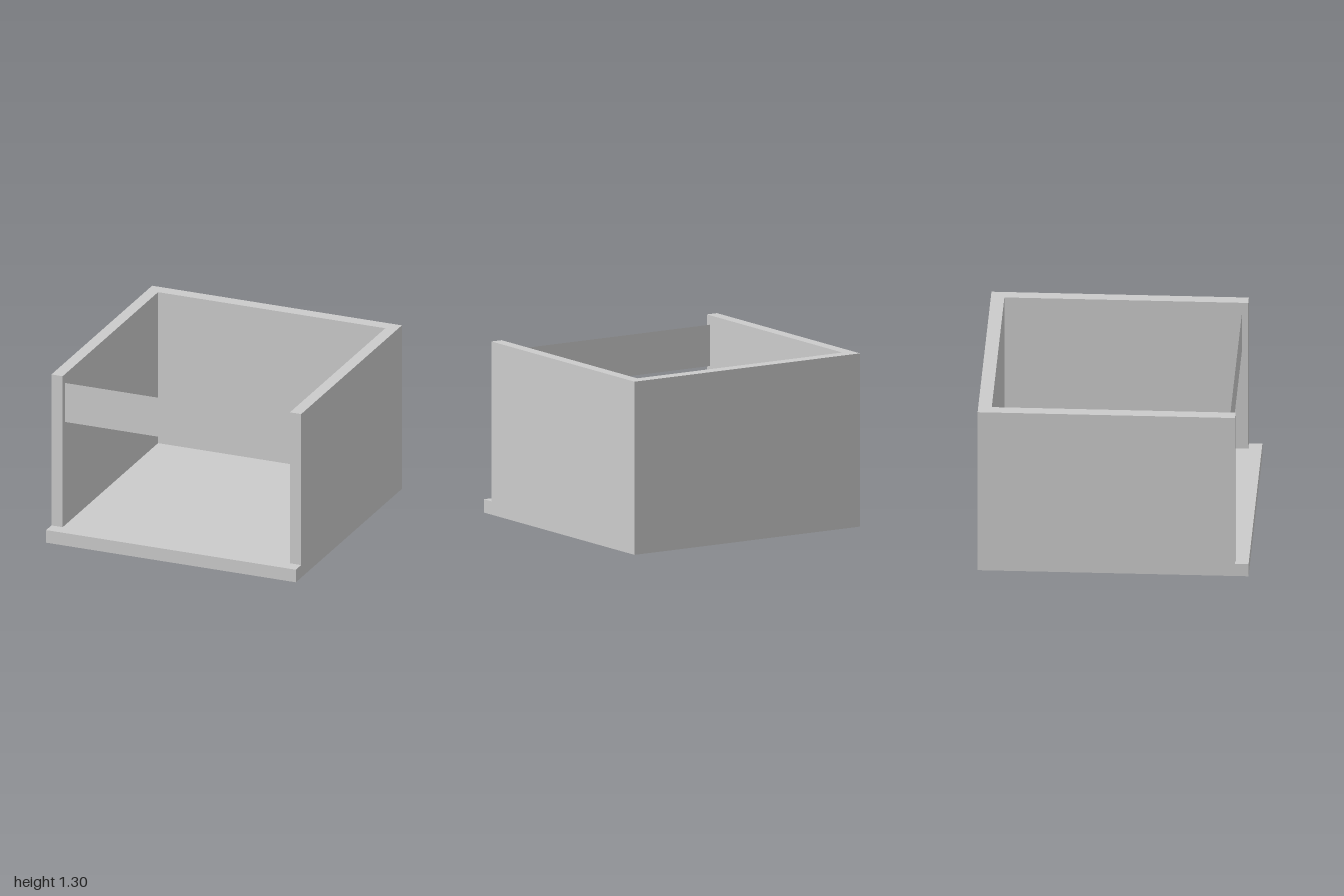
import * as THREE from 'three';

const material = new THREE.MeshStandardMaterial({ color: 0xcccccc, flatShading: true });
const thinMaterial = new THREE.MeshStandardMaterial({ color: 0xcccccc, side: THREE.DoubleSide });

const BASE_HEIGHT = 0.1;
const TOTAL_HEIGHT = 1.3;
const INNER_X = 0.91; // inside face of the side walls
const FRONT_Z = 0.9; // front end of the side walls
const BACK_Z = -0.9; // inside face of the back wall

export function createModel() {
  const model = new THREE.Group();
  const add = (name, geometry, mat = material) => {
    const mesh = new THREE.Mesh(geometry, mat);
    mesh.name = name;
    model.add(mesh);
    return mesh;
  };

  // Floor slab, projecting as a ledge at the front
  add('base', new THREE.BoxGeometry(2, BASE_HEIGHT, 2)).position.y = BASE_HEIGHT / 2;

  // U-shaped plan of side and back walls, drawn as (x, -z) and raised
  const plan = new THREE.Shape([
    [-1, -FRONT_Z], [-INNER_X, -FRONT_Z], [-INNER_X, -BACK_Z], [INNER_X, -BACK_Z],
    [INNER_X, -FRONT_Z], [1, -FRONT_Z], [1, 1], [-1, 1],
  ].map(([x, y]) => new THREE.Vector2(x, y)));
  const walls = new THREE.ExtrudeGeometry(plan, {
    depth: TOTAL_HEIGHT - BASE_HEIGHT,
    bevelEnabled: false,
  });
  walls.rotateX(-Math.PI / 2);
  add('walls', walls).position.y = BASE_HEIGHT;

  // Thin rail across the open front, set just inside the wall ends
  add('frontRail', new THREE.PlaneGeometry(2 * INNER_X, 0.31), thinMaterial)
    .position.set(0, 1.075, 0.855);

  return model;
}
